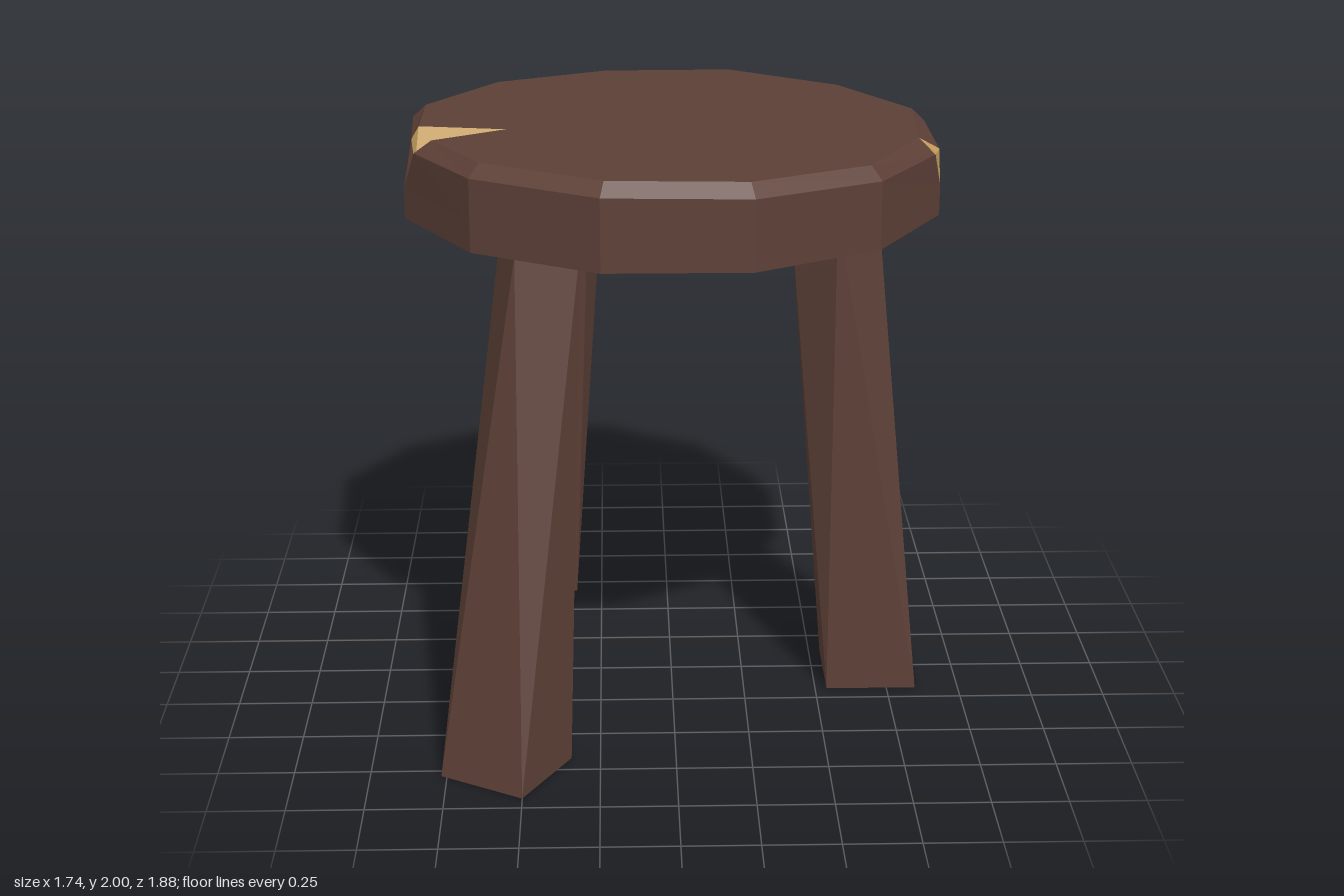
import * as THREE from 'three';

const SEAT_Z = -0.037, RIM = 0.9, BOTTOM = 1.72, LOW = 1.82;

// Slightly tilted seat surface
const topY = (x, z) => 1.983 - 0.013 * x + 0.013 * z;
const midY = (x, z) => topY(x, z) - 0.043;
const onTop = (x, z) => [x, topY(x, z), z];
const onMid = (x, z) => [x, midY(x, z), z];

function facets(triangles) {
  const g = new THREE.BufferGeometry();
  g.setAttribute('position', new THREE.Float32BufferAttribute(triangles.flat(2), 3));
  g.computeVertexNormals();
  return g;
}

// Chips at rim corners: before / valley / after are where the cut meets the rim
const chips = {
  0: { top: [0.795, 0.18], before: [0.868, 0.15], valley: [0.855, 1.925, 0.19], after: [0.845, 0.24], tip: 1.82 },
  7: { top: [-0.598, -0.645], before: [-0.65, -0.65], valley: [-0.622, 1.93, -0.663], after: [-0.605, -0.692], tip: 1.9 },
  8: { top: [-0.218, -0.862], before: [-0.27, -0.887], valley: [-0.222, 1.925, -0.893], after: [-0.18, -0.908], tip: 1.86 },
};

// Each column runs down the rim: top, bevel edge, low ring, bottom
function seatColumns() {
  const columns = [];
  for (let k = 0; k < 12; k++) {
    const a = THREE.MathUtils.degToRad(15 + 30 * k);
    const at = (r) => [r * Math.cos(a), SEAT_Z + r * Math.sin(a)];
    const [x, z] = at(RIM);
    const bottom = [x, BOTTOM, z];
    const chip = chips[k];
    if (k === 5) {
      // Deep split running in from the edge
      const tip = [x, LOW, z];
      columns.push(
        { p: [onTop(-0.77, 0.272), onMid(-0.828, 0.27), tip, bottom], cut: 1 },
        { p: [onTop(-0.54, 0.105), [-0.832, 1.89, 0.185], tip, bottom], cut: 1 },
        { p: [onTop(-0.825, 0.07), onMid(-0.85, 0.07), tip, bottom], cut: 0 });
    } else if (chip) {
      const top = onTop(...chip.top), tip = [x, chip.tip, z];
      columns.push(
        { p: [top, onMid(...chip.before), tip, bottom], cut: 2 },
        { p: [top, chip.valley, tip, bottom], cut: 2 },
        { p: [top, onMid(...chip.after), tip, bottom], cut: 0 });
    } else {
      const inner = at(k === 9 ? 0.893 : 0.854);
      columns.push({ p: [onTop(...inner), onMid(x, z), [x, LOW, z], bottom], cut: 0 });
    }
  }
  return columns;
}

// Flat cap filling one ring of the seat
function cap(points, up) {
  const outline = points.filter((p, i) => i === 0 || p !== points[i - 1])
    .map(([x, , z]) => new THREE.Vector2(x, up ? -z : z));
  const g = new THREE.ShapeGeometry(new THREE.Shape(outline));
  g.rotateX(up ? -Math.PI / 2 : Math.PI / 2);
  const pos = g.attributes.position;
  for (let i = 0; i < pos.count; i++) {
    pos.setY(i, up ? topY(pos.getX(i), pos.getZ(i)) : BOTTOM);
  }
  g.computeVertexNormals();
  return g;
}

// Four-sided leg whose top is turned 45 degrees against its foot
function legGeometry(foot, head, turn) {
  const ring = ([cx, cz], r, y, offset) => [0, 1, 2, 3].map((i) => {
    const a = THREE.MathUtils.degToRad(turn + offset + 90 * i);
    return [cx + r * Math.cos(a), y, cz + r * Math.sin(a)];
  });
  const b = ring(foot, 0.219, 0, 45), t = ring(head, 0.147, BOTTOM, 0);
  const tris = [];
  for (let i = 0; i < 4; i++) {
    const j = (i + 1) % 4;
    tris.push([b[i], t[i], t[j]], [b[i], t[j], b[j]]);
  }
  tris.push([b[0], b[1], b[2]], [b[0], b[2], b[3]]);
  tris.push([t[0], t[2], t[1]], [t[0], t[3], t[2]]);
  return facets(tris);
}

export function createModel() {
  const darkWood = new THREE.MeshStandardMaterial({ name: 'darkWood', color: 0x5d4037 });
  const freshWood = new THREE.MeshStandardMaterial({ name: 'freshWood', color: 0xc19a5b });
  const model = new THREE.Group();
  model.name = 'stool';
  const add = (parent, name, geometry, material) => {
    const mesh = new THREE.Mesh(geometry, material);
    mesh.name = name;
    parent.add(mesh);
  };

  // Seat
  const seat = new THREE.Group();
  seat.name = 'seat';
  model.add(seat);
  const columns = seatColumns(), rim = [], cuts = [];
  columns.forEach((c, i) => {
    const n = columns[(i + 1) % columns.length];
    for (let r = 0; r < 3; r++) {
      const target = r < c.cut ? cuts : rim;
      const quad = [[c.p[r + 1], c.p[r], n.p[r]], [c.p[r + 1], n.p[r], n.p[r + 1]]];
      // Skip triangles collapsed at shared points
      target.push(...quad.filter(([u, v, w]) => u !== v && v !== w && u !== w));
    }
  });
  add(seat, 'seatRim', facets(rim), darkWood);
  add(seat, 'seatChips', facets(cuts), freshWood);
  add(seat, 'seatTop', cap(columns.map((c) => c.p[0]), true), darkWood);
  add(seat, 'seatUnderside', cap(columns.map((c) => c.p[3]), false), darkWood);

  // Legs
  add(model, 'leftLeg', legGeometry([0.695, 0.025], [0.54, 0.04], 0), darkWood);
  add(model, 'frontRightLeg', legGeometry([-0.557, 0.728], [-0.425, 0.522], 30), darkWood);
  add(model, 'backRightLeg', legGeometry([-0.555, -0.73], [-0.35, -0.675], -30), darkWood);
  return model;
}
